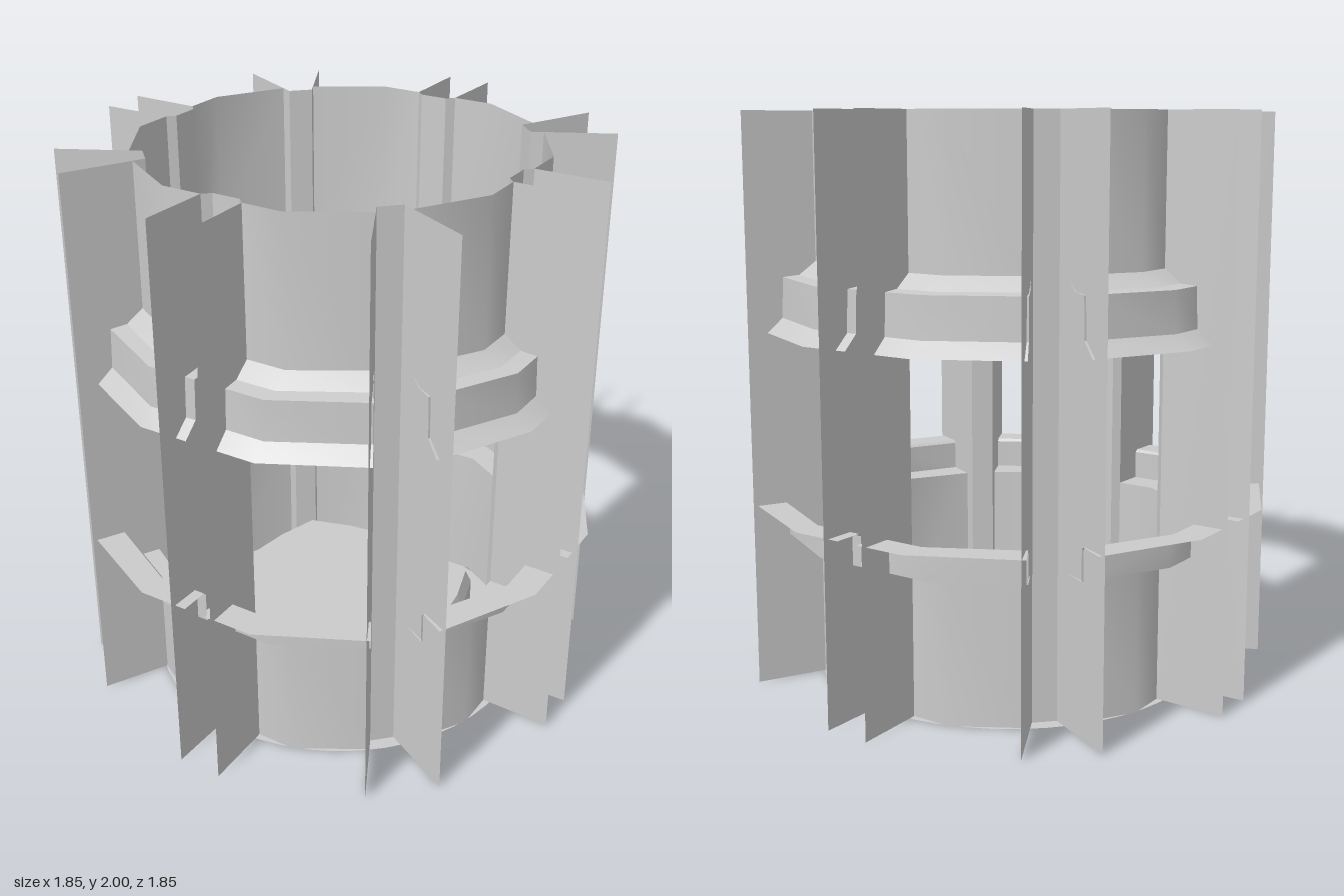
import * as THREE from 'three';
import { mergeGeometries } from 'three/addons/utils/BufferGeometryUtils.js';

const H = 2, SILL = 0.53, HEAD = 1.47;
const smooth = new THREE.MeshStandardMaterial({ color: 0xcccccc, side: THREE.DoubleSide });
const flat = new THREE.MeshStandardMaterial({ color: 0xcccccc, side: THREE.DoubleSide, flatShading: true });

function add(parent, name, geometry, material = flat) {
  const mesh = new THREE.Mesh(geometry, material);
  mesh.name = name;
  parent.add(mesh);
}

// Surface joining consecutive rows of [x, y, z] points
function loft(rows) {
  const n = rows[0].length, index = [];
  for (let i = 0; i < rows.length - 1; i++) {
    for (let j = 0; j < n - 1; j++) {
      const a = i * n + j, b = a + n;
      index.push(a, a + 1, b, a + 1, b + 1, b);
    }
  }
  const g = new THREE.BufferGeometry();
  g.setAttribute('position', new THREE.Float32BufferAttribute(rows.flat(2), 3));
  g.setIndex(index);
  g.computeVertexNormals();
  return g;
}

// Upright sheet following [x, z] points between two heights
const sheet = (path, y0, y1) => loft([y0, y1].map(y => path.map(([x, z]) => [x, y, z])));

// Bent line across half a quarter at distance r from the axis; s mirrors it
function bentLine(r, s, start) {
  const t = (r - 0.67) / 0.235;
  const path = [[start, r], [0.22, r], [0.45 + 0.12 * t, 0.53 + 0.2 * t]].map(([x, z]) => [s * x, z]);
  return s > 0 ? path : path.reverse();
}

// Folded sheet: smooth along its length, sharp at the folds
function bracket(profile, s) {
  const rows = profile.map(([r, y]) => bentLine(r, s, 0.04).map(([x, z]) => [x, y, z]));
  return mergeGeometries(rows.slice(1).map((row, i) => loft([row, rows[i]])));
}

// Bracket profiles as [distance from axis, height]
const hood = [[0.67, 1.49], [0.73, 1.445], [0.79, 1.44], [0.795, 1.3], [0.85, 1.25]];
const sill = [[0.79, 0.635], [0.8, 0.645], [0.905, 0.645]];
const sillFace = [[0.67, 0.53], [0.79, 0.53], [0.79, 0.635]];

// Channels as [x, z]: fin, recessed post, fin
const axisChannel = [[-0.08, 0.925], [-0.075, 0.67], [-0.05, 0.645], [0.05, 0.645], [0.075, 0.67], [0.08, 0.925]];
const diagonalChannel = [[0.565, 0.75], [0.43, 0.49], [0.49, 0.43], [0.75, 0.565]];

export function createModel() {
  const model = new THREE.Group();
  model.name = 'finnedCylinder';

  for (let q = 0; q < 4; q++) {
    const quarter = new THREE.Group();
    quarter.name = 'quarter' + (q + 1);
    quarter.rotation.y = q * Math.PI / 2;
    model.add(quarter);

    // Full-height posts with their pairs of fins
    add(quarter, 'axisPostAndFins', sheet(axisChannel, 0, H));
    add(quarter, 'diagonalPostAndFins', sheet(diagonalChannel, 0, H));

    for (const s of [1, -1]) {
      // Wall panels below and above each window
      const panel = bentLine(0.67, s, 0.075);
      add(quarter, 'lowerWall', sheet(panel, 0, SILL), smooth);
      add(quarter, 'upperWall', sheet(panel, HEAD, H), smooth);

      // Folded brackets over and under each window
      add(quarter, 'hoodBracket', bracket(hood, s), smooth);
      add(quarter, 'sillBracket', bracket([...sillFace, ...sill.slice(1)], s), smooth);
    }
  }

  // Rounded-square outline of the raised floor
  const outline = [];
  for (let q = 0; q < 4; q++) {
    const c = Math.round(Math.cos(q * Math.PI / 2)), n = Math.round(Math.sin(q * Math.PI / 2));
    for (const [x, z] of [[0, 0.455], [0.21, 0.427], [0.38, 0.376], [0.427, 0.21]]) {
      outline.push([x * c + z * n, z * c - x * n]);
    }
  }
  const loop = (scale, y) => [...outline, outline[0]].map(([x, z]) => [x * scale, y, z * scale]);
  const toShape = (pts, Kind) => new Kind(pts.map(([x, z]) => new THREE.Vector2(x, z)));

  // Flat bottom ring
  const base = new THREE.Shape().absarc(0, 0, 0.7, 0, Math.PI * 2);
  base.holes.push(toShape(outline, THREE.Path));
  add(model, 'bottomRing', new THREE.ShapeGeometry(base, 24).rotateX(Math.PI / 2));

  // Raised floor with bevelled rim, hollow underneath
  add(model, 'floorRim', loft([loop(1, 0), loop(1, 0.16), loop(0.955, 0.21)]));
  const top = toShape(outline.map(([x, z]) => [x * 0.955, z * 0.955]), THREE.Shape);
  add(model, 'raisedFloor', new THREE.ShapeGeometry(top).rotateX(Math.PI / 2).translate(0, 0.21, 0));

  return model;
}
